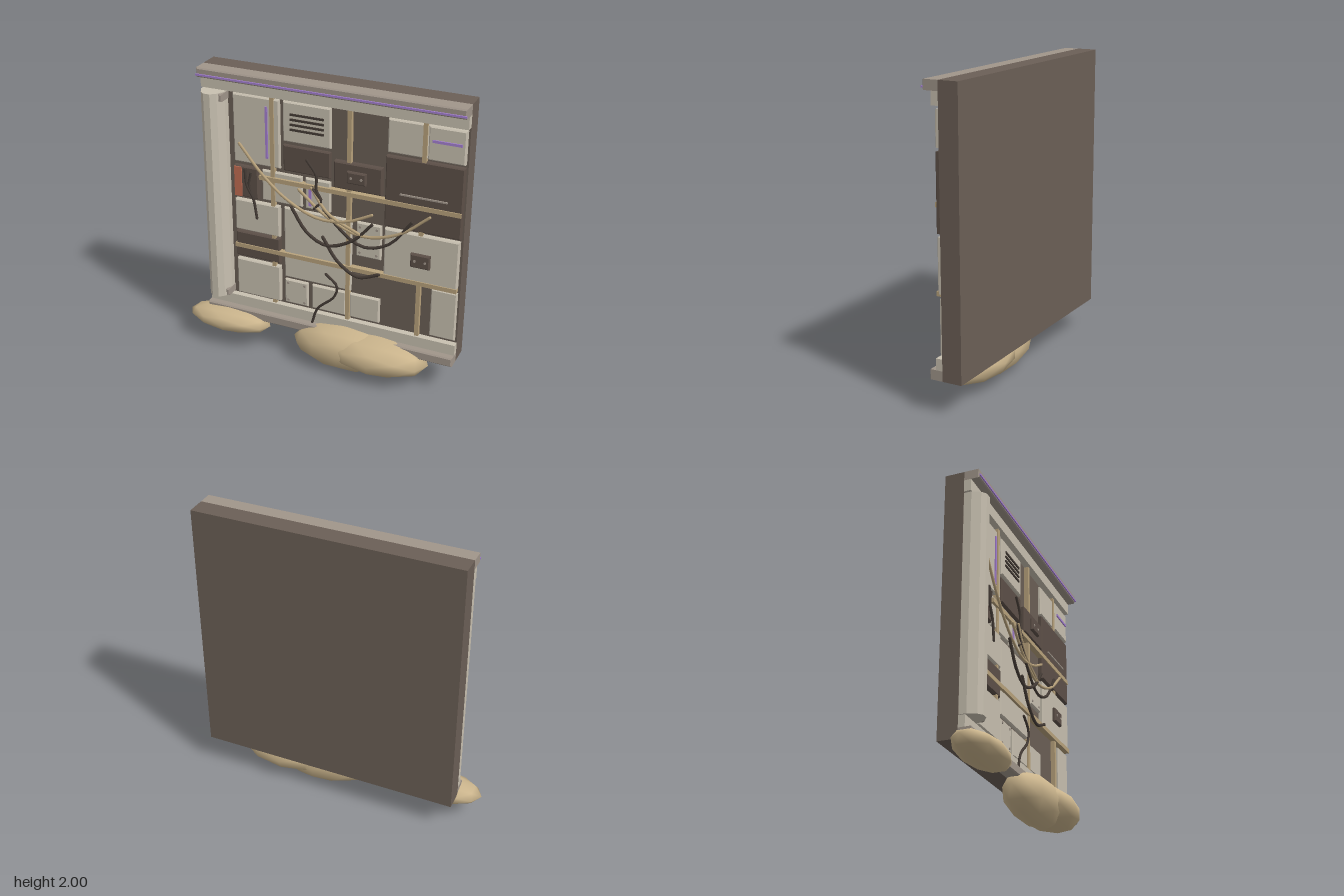
import * as THREE from 'three';
import { mergeVertices } from 'three/addons/utils/BufferGeometryUtils.js';

const mat = (name, color) => Object.assign(new THREE.MeshStandardMaterial({ color }), { name });

export function createModel() {
  const root = new THREE.Group();
  root.name = 'wallPanel';
  const M = {
    base: mat('wall brown', 0x6b5f56),
    trim: mat('trim grey', 0xa0958a),
    light: mat('panel cream', 0xc8c0b0),
    dark: mat('panel dark', 0x5d5048),
    tan: mat('pipe tan', 0xb8a27c),
    cable: mat('cable dark', 0x453c36),
    rock: mat('sand', 0xcab48c),
    purple: mat('purple glow', 0xa580d2),
    orange: mat('orange', 0xc06c52),
  };
  const add = (name, geo, m, parent = root) => {
    const mesh = new THREE.Mesh(geo, m);
    mesh.name = name;
    parent.add(mesh);
    return mesh;
  };
  const group = (name) => {
    const g = new THREE.Group();
    g.name = name;
    root.add(g);
    return g;
  };
  // box given by its limits
  const box = (name, x0, x1, y0, y1, z0, z1, m, parent) => {
    const b = add(name, new THREE.BoxGeometry(x1 - x0, y1 - y0, z1 - z0), m, parent);
    b.position.set((x0 + x1) / 2, (y0 + y1) / 2, (z0 + z1) / 2);
    return b;
  };
  // plate with chamfered front edges
  const plate = (name, x0, x1, y0, y1, z0, z1, m, parent) => {
    const c = 0.008;
    const s = new THREE.Shape();
    s.moveTo(x0 + c, y0 + c);
    s.lineTo(x1 - c, y0 + c);
    s.lineTo(x1 - c, y1 - c);
    s.lineTo(x0 + c, y1 - c);
    const g = new THREE.ExtrudeGeometry(s, {
      depth: z1 - z0 - c, bevelEnabled: true, bevelSegments: 1, bevelSize: c, bevelThickness: c,
    });
    g.translate(0, 0, z0);
    return add(name, g, m, parent);
  };

  // wall slab and the stepped beams along top and bottom
  const L = -0.825, R = 0.96, W = -0.06;
  box('wallSlab', L, R, 0.215, 2, -0.19, W, M.base);
  plate('topCornice', L, R, 1.937, 2, W, 0.043, M.trim);
  box('topBeam', L, R, 1.855, 1.937, W, -0.012, M.light);
  box('topGlowStrip', L, R, 1.95, 1.962, 0.043, 0.052, M.purple);
  plate('bottomSill', L, R, 0.215, 0.28, W, 0.03, M.trim);
  box('bottomBeam', L, R, 0.28, 0.355, W, -0.017, M.light);

  // faceted column at the side, with clips at both ends
  const profile = new THREE.Shape([
    [-0.822, W], [-0.822, -0.01], [-0.795, 0.045], [-0.765, 0.07],
    [-0.72, 0.07], [-0.685, 0.04], [-0.657, -0.015], [-0.657, W],
  ].map(([x, z]) => new THREE.Vector2(x, -z)).reverse());
  const column = new THREE.ExtrudeGeometry(profile, { depth: 1.485, bevelEnabled: false });
  column.rotateX(-Math.PI / 2);
  column.translate(0, 0.36, 0);
  add('sideColumn', column, M.light);
  for (const x of [-0.79, -0.667])
    for (const y of [0.365, 1.79])
      plate('columnClip', x - 0.014, x + 0.014, y, y + 0.05, W, 0.033, M.trim);

  // wall panels: [x0, x1, y0, y1, material, front z]
  const panels = group('panels');
  const lo = -0.038, hi = -0.027;
  [
    [-0.615, -0.285, 1.365, 1.835, M.light, lo],
    [-0.26, 0.07, 1.565, 1.835, M.light, lo],
    [-0.26, 0.07, 1.36, 1.54, M.dark, lo],
    [0.1, 0.425, 1.315, 1.5, M.dark, -0.022],
    [0.45, 0.71, 1.615, 1.835, M.light, lo],
    [0.712, 0.948, 1.615, 1.835, M.light, hi],
    [0.445, 0.95, 1.115, 1.595, M.dark, hi],
    [-0.615, -0.44, 1.12, 1.34, M.dark, hi],
    [-0.415, -0.13, 1.12, 1.335, M.light, lo],
    [-0.105, 0.07, 1.12, 1.335, M.light, lo],
    [-0.615, -0.29, 0.87, 1.095, M.light, hi],
    [-0.26, 0.22, 0.575, 1.095, M.light, lo],
    [0.255, 0.425, 0.85, 1.095, M.light, lo],
    [0.45, 0.945, 0.75, 1.095, M.light, hi],
    [-0.615, -0.29, 0.67, 0.855, M.dark, hi],
    [-0.615, -0.29, 0.375, 0.645, M.light, hi],
    [-0.26, -0.09, 0.375, 0.555, M.light, lo],
    [-0.06, 0.185, 0.375, 0.555, M.light, lo],
    [0.215, 0.425, 0.375, 0.555, M.light, lo],
    [0.775, 0.948, 0.375, 0.725, M.light, lo],
  ].forEach(([x0, x1, y0, y1, m, z]) => plate('panel', x0, x1, y0, y1, W, z, m, panels));

  // flat pipes crossing the wall
  const pipes = group('pipes');
  for (const x of [-0.335, 0.2, 0.69])
    box('verticalPipe', x - 0.014, x + 0.014, 0.355, 1.855, W, -0.03, M.tan, pipes);
  box('upperPipe', -0.43, 0.945, 1.27, 1.3, W, -0.02, M.tan, pipes);
  box('lowerPipe', -0.62, 0.945, 0.737, 0.767, W, -0.02, M.tan, pipes);

  // switch boxes, vents, strips and rivets
  const details = group('details');
  const rivet = (x, y, z, m) => {
    const g = new THREE.CylinderGeometry(0.009, 0.009, 0.008, 8);
    g.rotateX(Math.PI / 2);
    add('rivet', g, m, details).position.set(x, y, z);
  };
  for (const [x0, x1, y0, y1, z] of [[0.195, 0.325, 1.37, 1.452, -0.002], [0.635, 0.765, 0.87, 0.967, -0.005]]) {
    plate('switchBox', x0, x1, y0, y1, -0.04, z, M.dark, details);
    for (const s of [-0.035, 0.035]) rivet((x0 + x1) / 2 + s, (y0 + y1) / 2, z, M.trim);
  }
  for (let i = 0; i < 4; i++)
    box('ventSlot', -0.208, 0.025, 1.647 + i * 0.034, 1.661 + i * 0.034, lo, lo + 0.008, M.cable, details);
  for (const [cx, cy, dx, dy] of [[0.338, 0.972, 0.058, 0.092], [-0.175, 0.465, 0.06, 0.065]])
    for (const sx of [-1, 1])
      for (const sy of [-1, 1]) rivet(cx + sx * dx, cy + sy * dy, lo, M.trim);
  box('glowStrip', -0.382, -0.366, 1.425, 1.78, lo, lo + 0.008, M.purple, details);
  box('glowStrip', 0.74, 0.925, 1.735, 1.752, hi, hi + 0.008, M.purple, details);
  box('glowStrip', -0.077, -0.06, 1.145, 1.275, lo, lo + 0.008, M.purple, details);
  box('orangePlate', -0.61, -0.557, 1.125, 1.335, hi, hi + 0.008, M.orange, details);
  box('thinRod', 0.545, 0.855, 1.35, 1.36, hi, hi + 0.009, M.trim, details);

  // hanging cables
  const cables = group('cables');
  const cable = (m, r, z, pts) => {
    const path = new THREE.CatmullRomCurve3(pts.map(([x, y]) => new THREE.Vector3(x, y, z)));
    add('cable', new THREE.TubeGeometry(path, 16, r, 6), m, cables);
    for (const [x, y] of [pts[0], pts[pts.length - 1]])
      add('cableEnd', new THREE.SphereGeometry(r, 6, 4), m, cables).position.set(x, y, z);
  };
  cable(M.tan, 0.01, -0.008, [[-0.56, 1.51], [-0.4, 1.32], [-0.22, 1.17], [0, 1.08], [0.2, 1.1], [0.37, 1.18]]);
  cable(M.tan, 0.01, -0.012, [[-0.14, 1.26], [0.05, 1.11], [0.3, 1.015], [0.55, 1.08], [0.75, 1.24]]);
  cable(M.cable, 0.01, -0.014, [[-0.05, 1.29], [0.08, 1.1], [0.3, 0.94], [0.48, 0.99], [0.635, 1.18]]);
  cable(M.tan, 0.01, -0.008, [[-0.05, 1.29], [0.07, 1.13], [0.3, 1.02]]);
  cable(M.cable, 0.011, -0.01, [[-0.19, 1.12], [-0.08, 0.96], [0.06, 0.895], [0.24, 0.97], [0.37, 1.11]]);
  cable(M.cable, 0.011, -0.012, [[0.03, 0.95], [0.14, 0.79], [0.28, 0.71], [0.425, 0.76]]);
  cable(M.cable, 0.009, -0.01, [[-0.08, 1.475], [-0.015, 1.38], [-0.015, 1.28], [0.02, 1.21], [-0.03, 1.145]]);
  cable(M.cable, 0.009, -0.008, [[-0.05, 1.29], [0.02, 1.22]]);
  cable(M.cable, 0.009, -0.01, [[-0.525, 1.33], [-0.515, 1.22], [-0.47, 1.13], [-0.445, 0.99]]);
  cable(M.cable, 0.008, -0.014, [[-0.485, 1.31], [-0.5, 1.22], [-0.465, 1.13]]);
  cable(M.cable, 0.009, -0.01, [[0.055, 0.68], [0.135, 0.605], [0.115, 0.52], [-0.005, 0.4], [-0.045, 0.28]]);

  // sand mounds at the foot: [centre], [radii]
  const mounds = group('sandMounds');
  for (const [c, r] of [
    [[-0.66, 0.185, 0.018], [0.31, 0.083, 0.14]],
    [[0.195, 0.155, 0], [0.37, 0.155, 0.16]],
    [[0.43, 0.168, 0.003], [0.365, 0.127, 0.195]],
  ]) {
    let g = new THREE.IcosahedronGeometry(1, 1);
    g.deleteAttribute('normal');
    g.deleteAttribute('uv');
    g = mergeVertices(g, 1e-3);
    g.scale(...r);
    g.computeVertexNormals();
    add('sandMound', g, M.rock, mounds).position.set(...c);
  }
  return root;
}
